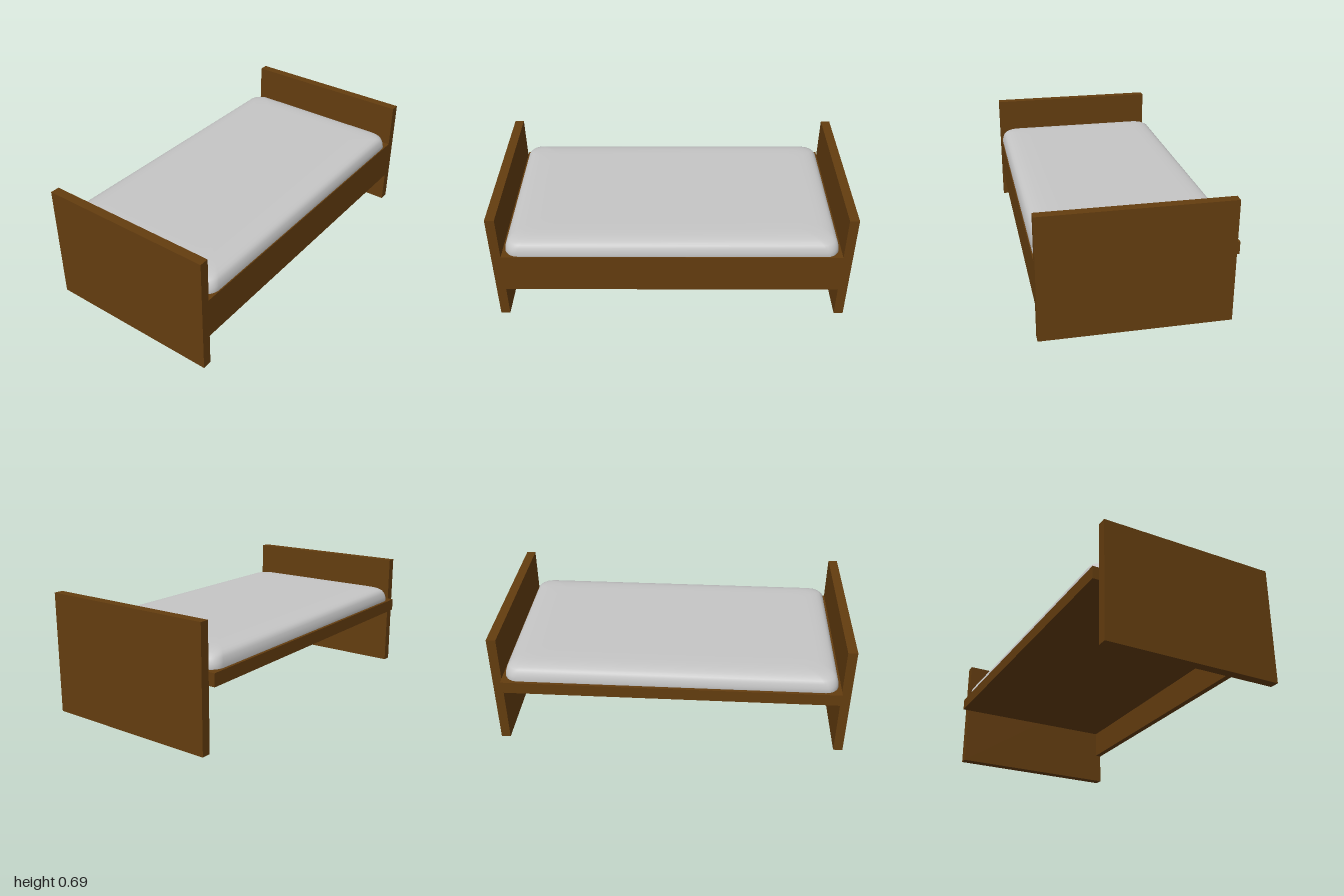
import * as THREE from 'three';

const wood = new THREE.MeshStandardMaterial({ color: 0x643d0f });
wood.name = 'brown wood';
const fabric = new THREE.MeshStandardMaterial({ color: 0xc6c6c6 });
fabric.name = 'light grey fabric';

// Box given by its extents on each axis
function board(name, [x0, x1], [y0, y1], [z0, z1]) {
  const mesh = new THREE.Mesh(new THREE.BoxGeometry(x1 - x0, y1 - y0, z1 - z0), wood);
  mesh.position.set((x0 + x1) / 2, (y0 + y1) / 2, (z0 + z1) / 2);
  mesh.name = name;
  return mesh;
}

// Soft cushion: rounded-rectangle rings, each [inset, height], closed at top and bottom
function cushion(halfX, halfZ, rings, corner, steps) {
  const positions = [], index = [], count = 4 * (steps + 1);
  for (const [inset, y] of rings) {
    const hx = halfX - inset, hz = halfZ - inset;
    const r = Math.min(corner, hx, hz);
    for (let q = 0; q < 4; q++) {
      const sx = q === 0 || q === 3 ? 1 : -1, sz = q < 2 ? 1 : -1;
      for (let i = 0; i <= steps; i++) {
        const a = (q + i / steps) * Math.PI / 2;
        positions.push(sx * (hx - r) + r * Math.cos(a), y, sz * (hz - r) + r * Math.sin(a));
      }
    }
  }
  for (let k = 0; k < rings.length - 1; k++) {
    for (let i = 0; i < count; i++) {
      const a = k * count + i, b = k * count + (i + 1) % count;
      index.push(a, a + count, b, b, a + count, b + count);
    }
  }
  const last = (rings.length - 1) * count;
  const bottom = positions.length / 3, top = bottom + 1;
  positions.push(0, rings[0][1], 0, 0, rings[rings.length - 1][1], 0);
  for (let i = 0; i < count; i++) {
    const j = (i + 1) % count;
    index.push(bottom, i, j, top, last + j, last + i);
  }
  const geometry = new THREE.BufferGeometry();
  geometry.setAttribute('position', new THREE.Float32BufferAttribute(positions, 3));
  geometry.setIndex(index);
  geometry.computeVertexNormals();
  return geometry;
}

export function createModel() {
  const bed = new THREE.Group();
  bed.name = 'bed';

  // Solid end panels
  bed.add(board('rightEndPanel', [-1, -0.947], [0, 0.685], [-0.495, 0.531]));
  bed.add(board('leftEndPanel', [0.947, 1], [0, 0.685], [-0.495, 0.531]));

  // Deep front rail and the platform that juts out at the back
  bed.add(board('frontRail', [-0.947, 0.947], [0.188, 0.427], [0.495, 0.531]));
  bed.add(board('platform', [-0.947, 0.947], [0.356, 0.427], [-0.531, 0.495]));

  // Mattress with a soft, rounded upper edge
  const rings = [
    [0.004, 0.42], [0, 0.43], [0.003, 0.455], [0.01, 0.478], [0.02, 0.493],
    [0.035, 0.503], [0.058, 0.51], [0.09, 0.515], [0.14, 0.517], [0.2, 0.517],
  ];
  const mattress = new THREE.Mesh(cushion(0.932, 0.521, rings, 0.075, 8), fabric);
  mattress.position.z = 0.005;
  mattress.name = 'mattress';
  bed.add(mattress);

  return bed;
}
